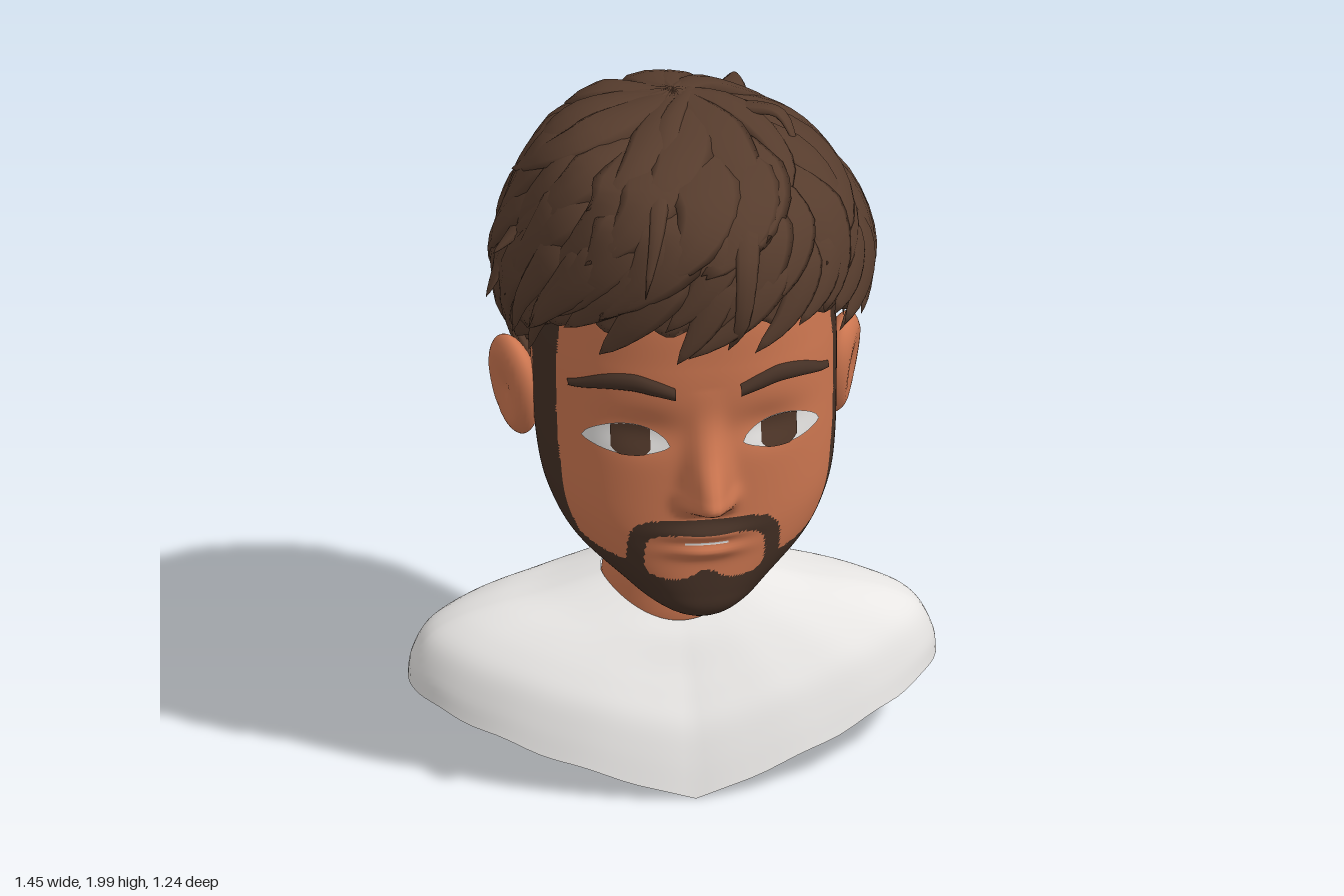
import * as THREE from 'three';
import { mergeVertices } from 'three/addons/utils/BufferGeometryUtils.js';

const mat = (name, color, side = THREE.FrontSide) => {
  const m = new THREE.MeshStandardMaterial({ color, side });
  m.name = name;
  return m;
};
let seed = 7;
const rand = (lo, hi) => {
  seed = (seed * 16807) % 2147483647;
  return lo + (hi - lo) * (seed / 2147483647);
};
const { lerp, smoothstep } = THREE.MathUtils;

// Smooth lookup of column k in a table sorted by its first column
function look(tab, x, k) {
  const last = tab.length - 1;
  x = Math.min(Math.max(x, tab[0][0]), tab[last][0]);
  let i = 0;
  while (i < last - 1 && x > tab[i + 1][0]) i++;
  const slope = (j) => {
    const a = tab[Math.max(j - 1, 0)], b = tab[Math.min(j + 1, last)];
    return (b[k] - a[k]) / (b[0] - a[0]);
  };
  const h = tab[i + 1][0] - tab[i][0], t = (x - tab[i][0]) / h, t2 = t * t, t3 = t2 * t;
  return (2 * t3 - 3 * t2 + 1) * tab[i][k] + (t3 - 2 * t2 + t) * h * slope(i)
    + (3 * t2 - 2 * t3) * tab[i + 1][k] + (t3 - t2) * h * slope(i + 1);
}

// Grid surface from fn(u, v) -> [x, y, z], with seams welded
function grid(nu, nv, fn) {
  const pos = [], idx = [];
  for (let i = 0; i <= nu; i++) for (let j = 0; j <= nv; j++) pos.push(...fn(i / nu, j / nv));
  for (let i = 0; i < nu; i++) for (let j = 0; j < nv; j++) {
    const a = i * (nv + 1) + j, b = a + nv + 1;
    idx.push(a, b, a + 1, b, b + 1, a + 1);
  }
  let g = new THREE.BufferGeometry();
  g.setAttribute('position', new THREE.Float32BufferAttribute(pos, 3));
  g.setIndex(idx);
  g = mergeVertices(g, 1e-5);
  g.computeVertexNormals();
  return g;
}

// Cross-sections: y, half width, front z, back z, z of widest point, x shift
const HEAD = [
  [0.612, 0, 0.38, 0.3, 0.34, 0], [0.62, 0.07, 0.425, 0.24, 0.32, 0], [0.65, 0.145, 0.455, 0.16, 0.26, 0],
  [0.7, 0.215, 0.462, 0.04, 0.2, 0], [0.8, 0.325, 0.466, -0.2, 0.15, 0], [0.9, 0.38, 0.475, -0.26, 0.12, 0],
  [1.0, 0.403, 0.48, -0.31, 0.1, 0], [1.2, 0.412, 0.49, -0.39, 0.08, 0], [1.4, 0.412, 0.502, -0.42, 0.05, 0],
  [1.6, 0.39, 0.49, -0.43, 0, 0], [1.75, 0.32, 0.38, -0.35, 0, 0], [1.84, 0.2, 0.2, -0.2, 0, 0], [1.88, 0, 0, 0, 0, 0]];
const NECK = [
  [0.38, 0.17, 0.04, -0.27, -0.1, 0], [0.43, 0.19, 0.056, -0.28, -0.1, 0], [0.52, 0.198, 0.062, -0.285, -0.1, 0],
  [0.65, 0.165, 0.08, -0.252, -0.09, 0], [0.8, 0.182, 0.08, -0.242, -0.08, 0], [0.9, 0.23, 0.1, -0.265, -0.07, 0],
  [1.0, 0.285, 0.1, -0.305, -0.06, 0]];
const HAIR = [
  [0.85, 0.2, 0.3, -0.3, 0, 0], [0.92, 0.25, 0.35, -0.36, 0, 0], [1.0, 0.32, 0.4, -0.425, 0, 0],
  [1.15, 0.41, 0.47, -0.52, 0, 0], [1.3, 0.445, 0.51, -0.575, 0, 0], [1.45, 0.485, 0.54, -0.595, 0, 0],
  [1.55, 0.49, 0.55, -0.575, 0, 0.01], [1.65, 0.465, 0.55, -0.52, 0, 0.01], [1.75, 0.42, 0.53, -0.43, 0, 0],
  [1.85, 0.345, 0.46, -0.345, 0, -0.02], [1.93, 0.225, 0.31, -0.235, -0.02, -0.05],
  [1.965, 0.12, 0.14, -0.17, -0.05, -0.04], [1.988, 0, -0.06, -0.06, -0.06, -0.01]];
const CROWN = 1.988;
const sgnPow = (v, n) => Math.sign(v) * Math.abs(v) ** (2 / n);
function section(tab, y, a, n = 2) {
  const s = sgnPow(Math.sin(a), n), c = sgnPow(Math.cos(a), n), zc = look(tab, y, 4);
  return [look(tab, y, 5) + look(tab, y, 1) * s, y, zc + c * (c > 0 ? look(tab, y, 2) - zc : zc - look(tab, y, 3))];
}

// Nose, eye sockets and lips raised from the face
const NOSE = [[0.945, 0], [0.972, 0.05], [1.01, 0.133], [1.05, 0.122], [1.15, 0.052], [1.24, 0.013], [1.34, 0]];
const bump = (dx, dy) => Math.exp(-dx * dx - dy * dy);
function relief(x, y) {
  const ax = Math.abs(x), wide = 0.056 - Math.max(0, y - 1.03) * 0.06;
  return look(NOSE, y, 1) * Math.exp(-((ax / wide) ** 2.6)) + 0.028 * bump((ax - 0.062) / 0.025, (y - 0.998) / 0.03)
    - 0.022 * bump((ax - 0.17) / 0.1, (y - 1.21) / 0.06)
    + 0.028 * bump(x / 0.1, (y - 0.895) / 0.022) + 0.025 * bump(x / 0.09, (y - 0.84) / 0.022);
}
const HN = 2.3;
function headPoint(y, a) {
  const front = Math.cos(a) > 0, p = section(HEAD, y, a, front ? HN : lerp(1.4, HN, smoothstep(y, 0.75, 1.15)));
  if (front) p[2] += relief(p[0], y) * Math.min(1, Math.cos(a) * 3);
  return p;
}
function faceZ(x, y) {
  const s = Math.min(1, Math.abs(x) / look(HEAD, y, 1)), zc = look(HEAD, y, 4);
  return zc + (look(HEAD, y, 2) - zc) * (1 - s ** HN) ** (1 / HN) + relief(x, y);
}

// Areas of the head covered by beard or scalp stubble
const CHEEK = [[0, 0.8], [0.2, 0.8], [0.31, 0.836], [0.37, 0.9], [0.4, 1.0]];
function bearded(x, y, z) {
  const ax = Math.abs(x);
  if (y > 1.57 || (z < 0.05 && y > 1.28) || (z < -0.23 && y > 1.03)) return true;
  if (z < 0.05 + Math.max(0, 0.85 - y) * 0.3) return false;
  if (z < 0.265 + Math.max(0, 1.2 - y) * 0.1) return true;
  if ((ax / 0.165) ** 4 + ((y - 0.822) / 0.074) ** 4 < 1) return y < 0.75 + 0.03 * bump(ax / 0.04, 0);
  if (y < look(CHEEK, ax, 1)) return true;
  return (ax / 0.21) ** 5 + ((y - 0.8) / 0.137) ** 5 < 1;
}

// Thin plate on the face between two curves; side is +1 or -1
function plate(side, x0, x1, low, high, off) {
  return grid(24, 8, (u, v) => {
    if (side < 0) u = 1 - u;
    const x = lerp(x0, x1, u), y = lerp(low(u, x), high(u, x), v);
    return [x * side, y, faceZ(x, y) + (typeof off === 'function' ? off(v) : off)];
  });
}

// Hairline height by angle from the front, in degrees
const HEM = [[0, 1.53], [40, 1.51], [60, 1.46], [80, 1.36], [95, 1.28], [105, 1.25], [115, 1.15], [130, 1.04], [150, 0.98], [180, 0.955]];
const CORE = new THREE.Vector3(0, 1.4, -0.03);
function hairPoint(a, t, lift = 0) {
  const deg = Math.abs(Math.atan2(Math.sin(a), Math.cos(a))) * 180 / Math.PI, hem = look(HEM, deg, 1);
  const y = Math.max(0.86, hem + (CROWN - hem) * Math.cos(t * Math.PI / 2));
  const p = new THREE.Vector3(...section(HAIR, y, a));
  return p.addScaledVector(p.clone().sub(CORE).normalize(), lift);
}

// Pointed lock of hair along a path
function lock(points, width, thick) {
  const curve = new THREE.CatmullRomCurve3(points);
  return grid(12, 8, (u, v) => {
    const p = curve.getPoint(u), T = curve.getTangent(u), N = p.clone().sub(CORE);
    N.addScaledVector(T, -N.dot(T)).normalize();
    const B = T.clone().cross(N), f = u < 0.35 ? 0.5 + u / 0.7 : ((1 - u) / 0.65) ** 0.7, a = v * Math.PI * 2;
    return p.addScaledVector(B, Math.cos(a) * width * f).addScaledVector(N, Math.sin(a) * thick * f).toArray();
  });
}

// Shirt: profile (outward, downward) for side, front and back
const PROFILE = [
  [0, 0, 0, 0, 0, 0, 0], [0.16, 0.29, 0.16, 0.16, 0.1, 0.18, 0.1], [0.33, 0.57, 0.27, 0.36, 0.27, 0.4, 0.26],
  [0.5, 0.77, 0.39, 0.55, 0.42, 0.6, 0.46], [0.67, 0.91, 0.55, 0.74, 0.58, 0.77, 0.66],
  [0.84, 0.985, 0.8, 0.88, 0.78, 0.9, 0.83], [1, 1, 1, 1, 1, 1, 1]];
function hemPoint(a) {
  const s = Math.sin(a), c = Math.cos(a), n = c > 0 ? 1.75 : 2.4, r = Math.abs(sgnPow(s, n));
  const y = (c > 0 ? 0.21 * r : 0.18 + 0.03 * r) + 0.008 * Math.sin(a * 17) * s * c;
  return [0.725 * sgnPow(s, n), Math.max(0, y), -0.12 + (c > 0 ? 0.41 : 0.35) * sgnPow(c, n)];
}
function shirtPoint(u, v) {
  const a = v * Math.PI * 2, s = Math.sin(a), c = Math.cos(a), k = s * s, o = c > 0 ? 3 : 5;
  const top = [0.2 * s, c > 0 ? 0.52 - 0.09 * c * c : 0.52 + 0.03 * c * c, -0.1 + (c > 0 ? 0.16 : 0.19) * c];
  const end = hemPoint(a), r = lerp(look(PROFILE, u, o), look(PROFILE, u, 1), k);
  const d = lerp(look(PROFILE, u, o + 1), look(PROFILE, u, 2), k);
  return [lerp(top[0], end[0], r), lerp(top[1], end[1], d), lerp(top[2], end[2], r)];
}

export function createModel() {
  const model = new THREE.Group();
  const skin = mat('skin', 0xcc7650), hair = mat('hair', 0x563c2d, THREE.DoubleSide), beard = mat('beard', 0x443025);
  const shirt = mat('shirt', 0xe8e6e4), white = mat('eyeWhite', 0xe8e6e4), iris = mat('iris', 0x51382a);
  const add = (name, geo, m, parent = model) => {
    const mesh = new THREE.Mesh(geo, m);
    mesh.name = name;
    parent.add(mesh);
    return mesh;
  };

  // Head, with skin and beard as two face groups
  const headGeo = grid(160, 230, (u, v) => headPoint(lerp(1.88, 0.612, u), v * Math.PI * 2));
  const pos = headGeo.attributes.position, id = headGeo.index.array, parts = [[], []];
  for (let i = 0; i < id.length; i += 3) {
    const tri = [id[i], id[i + 1], id[i + 2]];
    const mid = (f) => tri.reduce((sum, k) => sum + pos[f](k), 0) / 3;
    parts[bearded(mid('getX'), mid('getY'), mid('getZ')) ? 1 : 0].push(...tri);
  }
  headGeo.setIndex(parts[0].concat(parts[1]));
  headGeo.addGroup(0, parts[0].length, 0);
  headGeo.addGroup(parts[0].length, parts[1].length, 1);
  add('head', headGeo, [skin, beard]);
  add('neck', grid(24, 48, (u, v) => section(NECK, lerp(1, 0.38, u), v * Math.PI * 2)), skin);

  // Eyes, brows and ears on both sides
  const arch = (x, p) => Math.max(0, Math.sin(Math.PI * (x - 0.1) / 0.228)) ** p;
  const eyeTop = (x) => 1.165 + 0.062 * arch(x, 0.6), eyeLow = (x) => 1.165 - 0.03 * arch(x, 0.7);
  const round = (x) => Math.sqrt(Math.max(0, 0.062 ** 2 - (x - 0.205) ** 2));
  const BROW = [[0, 1.312, 1.35], [0.2, 1.324, 1.372], [0.42, 1.334, 1.386], [0.7, 1.325, 1.368], [1, 1.298, 1.315]];
  const earGeo = new THREE.SphereGeometry(1, 32, 24), ep = earGeo.attributes.position;
  for (let i = 0; i < ep.count; i++) {
    const x = ep.getX(i), y = ep.getY(i), z = ep.getZ(i), r = Math.hypot(y, z);
    ep.setXYZ(i, (x > 0 ? x - 0.6 * Math.max(0, 1 - r / 0.75) : x) * 0.055, y * 0.15, z * 0.1 * (1 + 0.22 * y));
  }
  earGeo.computeVertexNormals();
  for (const side of [1, -1]) {
    const tag = side > 0 ? 'left' : 'right';
    add(tag + 'Eye', plate(side, 0.1, 0.328, (u, x) => eyeLow(x), (u, x) => eyeTop(x), 0.005), white);
    add(tag + 'Iris', plate(side, 0.153, 0.257, (u, x) => Math.max(eyeLow(x), 1.19 - round(x)),
      (u, x) => Math.min(eyeTop(x), 1.19 + round(x)), 0.009), iris);
    add(tag + 'Brow', plate(side, 0.09, 0.36, (u) => look(BROW, u, 1), (u) => look(BROW, u, 2),
      (v) => 0.002 + 0.02 * Math.sqrt(Math.sin(Math.PI * v))), beard);
    const pivot = new THREE.Group();
    pivot.scale.x = side;
    model.add(pivot);
    const ear = add(tag + 'Ear', earGeo, skin, pivot);
    ear.position.set(0.447, 1.13, -0.04);
    ear.rotation.set(0, -0.35, -0.14);
  }
  add('teeth', plate(1, -0.06, 0.06, () => 0.864, () => 0.871, 0.003), white);

  // Hair cap with a wavy hem tucked back to the head
  const hairGroup = new THREE.Group();
  hairGroup.name = 'hair';
  model.add(hairGroup);
  add('hairCap', grid(36, 144, (u, v) => {
    const a = v * Math.PI * 2, end = 0.98 + 0.025 * Math.sin(a * 19);
    const t = Math.min(1, u * 36 / 35) * end;
    const p = hairPoint(a, t, 0.008 * Math.sin(13 * (a + 0.7 * t)) * Math.min(1, t * 2));
    return u < 1 ? p.toArray() : section(HEAD, p.y + 0.03, a, HN);
  }), hair, hairGroup);

  // Swirling layers of locks: count, start, end, half width, thickness
  const LAYERS = [[30, 0.6, 1.05, 0.075, 0.024], [24, 0.42, 0.93, 0.095, 0.026], [18, 0.22, 0.76, 0.1, 0.026], [10, 0.08, 0.54, 0.085, 0.022]];
  LAYERS.forEach(([count, t0, t1, w, th], layer) => {
    for (let i = 0; i < count; i++) {
      const a0 = (i + rand(-0.3, 0.3)) / count * Math.PI * 2, front = Math.cos(a0);
      const twist = rand(-0.5, -0.18) * (front > -0.2 ? 1 + layer * 0.2 : 0.5);
      const end = t1 + (front > -0.3 ? rand(-0.05, 0.06) : rand(-0.08, -0.03)), tip = rand(0, front > -0.2 ? 0.028 : 0.008);
      const path = [0, 0.25, 0.5, 0.75, 1].map((s) => hairPoint(a0 + 0.25 + twist * s * (0.5 + s), lerp(t0, end, s),
        -0.012 + 0.022 * Math.sin(Math.PI * Math.min(s * 1.2, 1) * 0.6) + tip * s * s));
      add('lock' + layer, lock(path, w * rand(0.75, 1.15), th), hair, hairGroup);
    }
  });

  // Loose strands: half width, then path points
  const STRANDS = [
    [0.04, [0.04, 1.97, -0.08], [-0.04, 1.98, 0.12], [-0.1, 1.93, 0.33], [-0.14, 1.83, 0.5], [-0.18, 1.65, 0.55]],
    [0.04, [0.14, 1.92, 0.1], [0.12, 1.88, 0.38], [0.1, 1.75, 0.56], [0.08, 1.57, 0.585], [0.05, 1.47, 0.53]],
    [0.045, [0.1, 1.93, -0.05], [0.2, 1.94, 0.0], [0.27, 1.94, 0.05], [0.31, 1.86, 0.12]],
    [0.04, [0.16, 1.88, -0.2], [0.2, 1.86, -0.32], [0.22, 1.84, -0.43]],
    [0.04, [-0.38, 1.74, 0.05], [-0.46, 1.66, 0.08], [-0.53, 1.6, 0.1]],
    [0.04, [-0.45, 1.62, 0.0], [-0.5, 1.52, 0.02], [-0.54, 1.44, 0.04]]];
  for (const [w, ...pts] of STRANDS) {
    add('looseStrand', lock(pts.map((p) => new THREE.Vector3(...p)), w, 0.016), hair, hairGroup);
  }

  // Shirt and its closed underside
  add('shirt', grid(28, 96, shirtPoint), shirt);
  add('shirtUnderside', grid(8, 96, (u, v) => {
    const [x, y, z] = hemPoint(v * Math.PI * 2);
    return [x * (1 - u), lerp(y, 0.18 * (0.29 - z) / 0.76, u), z];
  }), shirt);
  return model;
}
